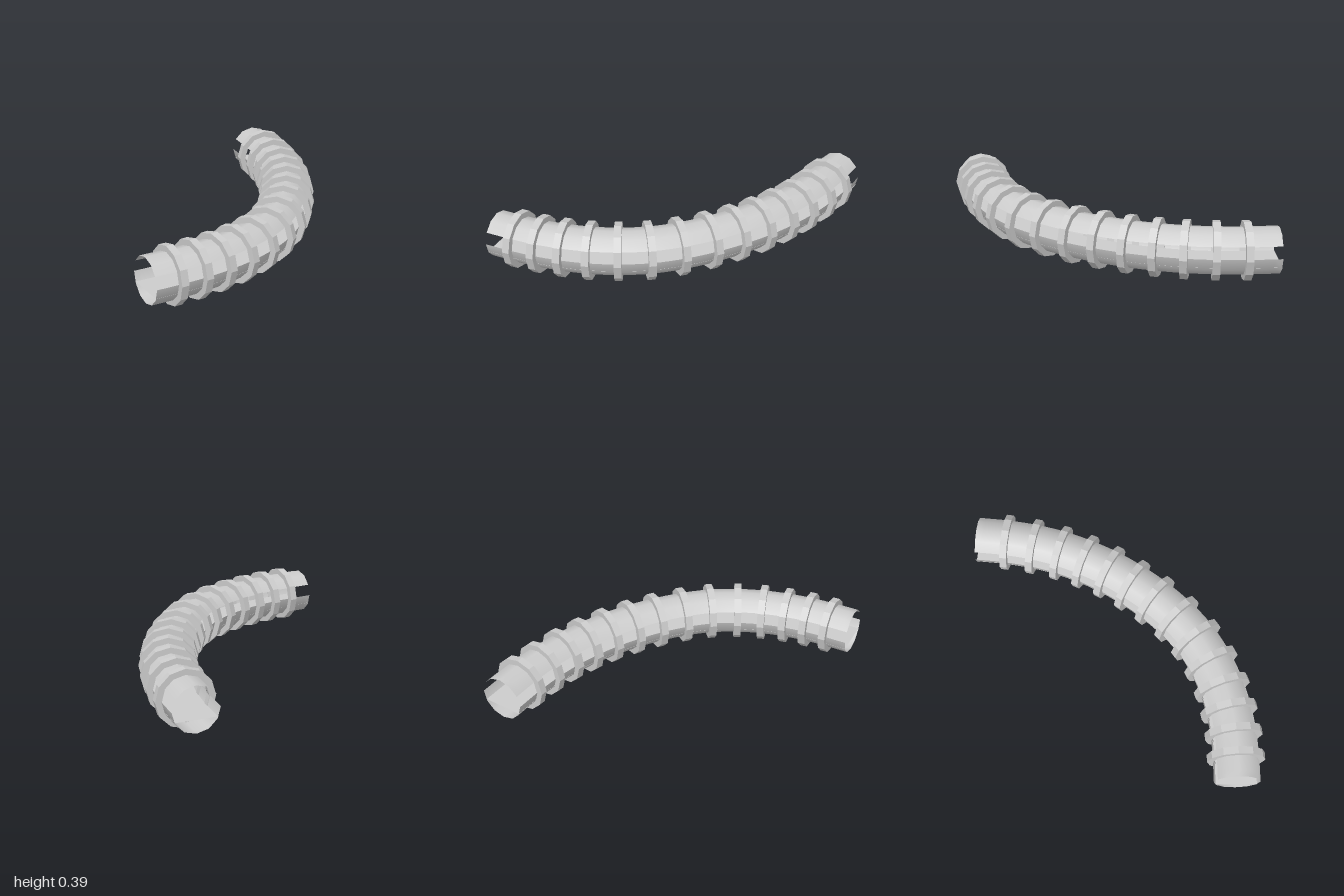
import * as THREE from 'three';

const CENTRE_Y = 0.197, TUBE_R = 0.157, RING_R = 0.197, RING_W = 0.05, SIDES = 12;

// Centre line in plan (x, z): one end, the fourteen ring stations, the other end
const stations = [
  [-0.985, 0.802], [-0.815, 0.80], [-0.652, 0.79], [-0.488, 0.765], [-0.32, 0.722],
  [-0.145, 0.653], [0.03, 0.553], [0.187, 0.422], [0.328, 0.27], [0.445, 0.113],
  [0.547, -0.05], [0.63, -0.22], [0.698, -0.395], [0.75, -0.585], [0.785, -0.78],
  [0.808, -0.99],
];
const path = new THREE.CatmullRomCurve3(
  stations.map(([x, z]) => new THREE.Vector3(x, CENTRE_Y, z)));
const up = new THREE.Vector3(0, 1, 0);

// Position, direction and sideways vector at parameter t of the centre line
function frameAt(t) {
  const tangent = path.getTangent(t).setY(0).normalize();
  const side = new THREE.Vector3().crossVectors(tangent, up);
  return { pos: path.getPoint(t), tangent, side };
}

// Sweeps an open profile of [sideways, height] points along the centre line
function sweep(profile, steps = 60) {
  const pos = [], index = [], n = profile.length;
  for (let i = 0; i <= steps; i++) {
    const f = frameAt(i / steps);
    for (const [u, v] of profile) {
      const p = f.pos.clone().addScaledVector(f.side, u).addScaledVector(up, v);
      pos.push(p.x, p.y, p.z);
    }
  }
  for (let i = 0; i < steps; i++) {
    for (let j = 0; j < n - 1; j++) {
      const a = i * n + j, b = a + n;
      index.push(a, a + 1, b, a + 1, b + 1, b);
    }
  }
  const geo = new THREE.BufferGeometry();
  geo.setAttribute('position', new THREE.Float32BufferAttribute(pos, 3));
  geo.setIndex(index);
  geo.computeVertexNormals();
  return geo;
}

// Part of the twelve-sided tube section, from corner a to corner b
function arc(a, b) {
  const pts = [];
  for (let k = a; k <= b; k++) {
    const ang = (k / SIDES) * Math.PI * 2;
    pts.push([Math.cos(ang) * TUBE_R, Math.sin(ang) * TUBE_R]);
  }
  return pts;
}

export function createModel() {
  const group = new THREE.Group();
  group.name = 'curvedTunnel';
  const shellMat = new THREE.MeshStandardMaterial({ color: 0xcccccc, side: THREE.DoubleSide });
  const ringMat = new THREE.MeshStandardMaterial({ color: 0xcccccc, flatShading: true });

  const add = (name, geo, mat) => {
    const mesh = new THREE.Mesh(geo, mat);
    mesh.name = name;
    group.add(mesh);
    return mesh;
  };

  // Roof and trough, leaving a long window slot on both sides
  add('roof', sweep(arc(1, 5)), shellMat);
  add('trough', sweep(arc(6, 12)), shellMat);

  // Flat walkway inside the trough
  const floorV = -0.066, floorU = 0.141;
  add('floor', sweep([[floorU, floorV], [-floorU, floorV]]), shellMat);

  // Raised rings around the tube
  const h = RING_W / 2, inner = TUBE_R - 0.004;
  const ringGeo = new THREE.LatheGeometry(
    [[inner, -h], [RING_R, -h], [RING_R, h], [inner, h], [inner, -h]]
      .map(([r, y]) => new THREE.Vector2(r, y)), SIDES);
  for (let i = 1; i < stations.length - 1; i++) {
    const f = frameAt(i / (stations.length - 1));
    const ring = add('ring' + i, ringGeo, ringMat);
    const third = new THREE.Vector3().crossVectors(f.side, f.tangent);
    ring.quaternion.setFromRotationMatrix(
      new THREE.Matrix4().makeBasis(f.side, f.tangent, third));
    ring.position.copy(f.pos);
  }
  return group;
}
